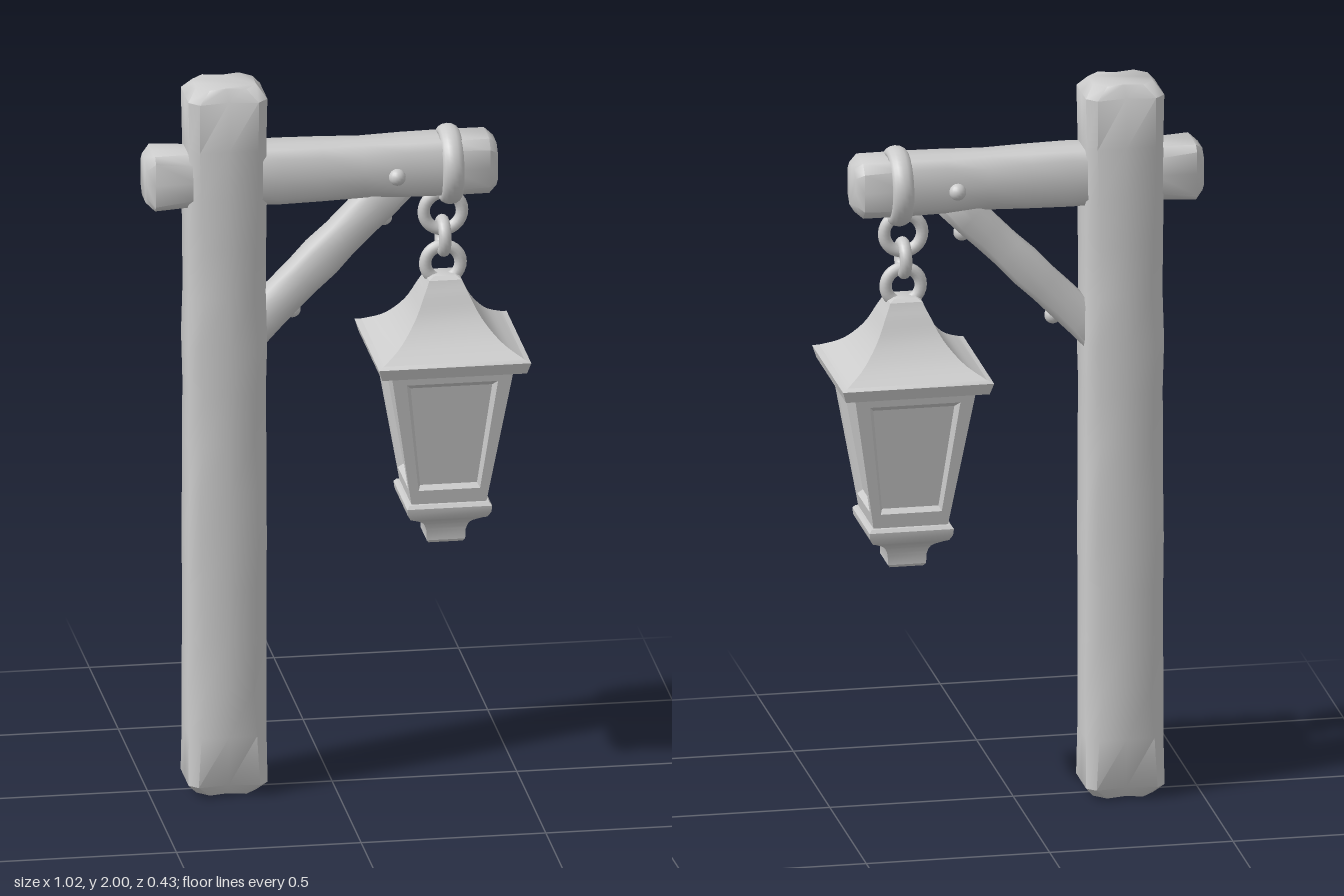
import * as THREE from 'three';
import { toCreasedNormals } from 'three/addons/utils/BufferGeometryUtils.js';

const material = new THREE.MeshStandardMaterial({ color: 0xcccccc });

function add(parent, name, geometry, x = 0, y = 0, z = 0) {
  const mesh = new THREE.Mesh(geometry, material);
  mesh.name = name;
  mesh.position.set(x, y, z);
  parent.add(mesh);
  return mesh;
}

// Skin a stack of equal-length loops (counterclockwise seen from the end) and cap both ends.
function loft(loops, crease, capStart = true) {
  const n = loops[0].length;
  const points = loops.flat();
  const index = [];
  for (let i = 0; i < loops.length - 1; i++) {
    for (let j = 0; j < n; j++) {
      const a = i * n + j, b = i * n + (j + 1) % n;
      index.push(a, b, b + n, a, b + n, a + n);
    }
  }
  const last = (loops.length - 1) * n;
  for (let j = 1; j < n - 1; j++) {
    if (capStart) index.push(0, j + 1, j);
    index.push(last, last + j, last + j + 1);
  }
  const geometry = new THREE.BufferGeometry();
  geometry.setAttribute('position', new THREE.Float32BufferAttribute(points.flat(), 3));
  geometry.setIndex(index);
  return toCreasedNormals(geometry, crease);
}

function seeded(seed) {
  return () => (seed = (seed * 16807) % 2147483647) / 2147483647;
}

// Hand-hewn timber standing along y: bevelled ends, chamfer of uneven width, split at the ends.
function timber(length, w, d, { chamfer = 0.025, bevel = 0.03, split = 0, steps = 8, seed = 7 } = {}) {
  const random = seeded(seed);
  const section = (y, inset, c, notch) => {
    const x = w - inset, z = d - inset;
    return [
      [x, z - c], [x, 0], [x, c - z], [x - c, -z], [0, -z + notch], [c - x, -z],
      [-x, c - z], [-x, 0], [-x, z - c], [c - x, z], [0, z - notch], [x - c, z],
    ].map(([px, pz]) => [px, y, pz]);
  };
  const loops = [section(0, bevel * 0.8, chamfer, split)];
  for (let i = 0; i <= steps; i++) {
    const end = i === 0 || i === steps;
    const y = bevel + (length - 2 * bevel) * i / steps;
    loops.push(section(y, end ? 0 : random() * 0.004, chamfer * (0.75 + random() * 0.6), end ? split : 0));
  }
  loops.push(section(length, bevel * 0.8, chamfer, split));
  return loft(loops, 0.9);
}

// Square-plan turning from [half width, height] pairs, bottom to top.
function squareTurned(profile) {
  return loft(profile.map(([r, y]) => [[r, y, r], [r, y, -r], [-r, y, -r], [-r, y, r]]), 0.6);
}

function smooth(points, count) {
  return new THREE.SplineCurve(points.map(p => new THREE.Vector2(...p)))
    .getPoints(count).map(p => [p.x, p.y]);
}

function makeLantern() {
  const lantern = new THREE.Group();
  lantern.name = 'lantern';

  // Concave roof with a flat eave
  add(lantern, 'roof', squareTurned([
    [0.16, 1.2], [0.196, 1.2], [0.206, 1.232],
    ...smooth([[0.19, 1.238], [0.137, 1.27], [0.09, 1.325], [0.06, 1.385], [0.05, 1.405]], 14),
    [0.044, 1.42], [0.03, 1.428],
  ]));

  // Four tapering sides, each a frame around a recessed pane
  const bottom = 0.8, top = 1.205;
  const half = y => 0.1 + 0.066 * (y - bottom) / (top - bottom);
  const ring = (u, y0, y1, depth) => [[-u, y0], [u, y0], [u, y1], [-u, y1]]
    .map(([s, y]) => [s * half(y), y, half(y) - depth]);
  const side = loft([
    ring(1, bottom, top, 0),
    ring(0.77, 0.85, 1.17, 0),
    ring(0.7, 0.862, 1.155, 0.016),
  ], 0.2, false);
  for (let k = 0; k < 4; k++) add(lantern, 'windowSide', side).rotation.y = k * Math.PI / 2;

  // Moulded base
  add(lantern, 'base', squareTurned([
    [0.046, 0.68], [0.052, 0.688],
    ...smooth([[0.053, 0.715], [0.063, 0.74], [0.092, 0.76]], 8),
    [0.104, 0.766], [0.113, 0.782], [0.115, 0.8], [0.108, 0.809], [0.09, 0.812],
  ]));

  lantern.position.x = 0.3;
  lantern.scale.z = 1.035;
  return lantern;
}

export function createModel() {
  const model = new THREE.Group();
  model.name = 'lanternPost';

  // Timber frame
  add(model, 'post', timber(2, 0.107, 0.093,
    { chamfer: 0.032, bevel: 0.032, split: 0.012, steps: 14, seed: 11 }), -0.292, 0, -0.002);
  add(model, 'crossBeam', timber(0.95, 0.077, 0.072,
    { chamfer: 0.022, bevel: 0.022, seed: 5 }), -0.51, 1.74, 0.002).rotation.z = -Math.PI / 2;
  add(model, 'brace', timber(0.594, 0.05, 0.05,
    { chamfer: 0.016, bevel: 0.01, seed: 3 }), -0.24, 1.28, 0).rotation.z = -Math.PI / 4;

  // Round-headed pegs through the beam and under the brace
  const peg = new THREE.SphereGeometry(0.023, 16, 12);
  for (const z of [-0.07, 0.074]) add(model, 'beamPeg', peg, 0.165, 1.73, z);
  add(model, 'bracePeg', peg, 0.14, 1.594, 0);
  add(model, 'bracePeg', peg, -0.108, 1.346, 0);

  // Ring around the beam
  const ring = add(model, 'beamRing', new THREE.TorusGeometry(0.089, 0.02, 14, 40), 0.316, 1.735, 0);
  ring.rotation.y = Math.PI / 2;
  ring.scale.z = 1.45;

  // Chain of alternating links
  [[1.602, 0.052, 0], [1.532, 0.041, Math.PI / 2], [1.455, 0.048, 0]].forEach(([y, r, turn]) => {
    add(model, 'chainLink', new THREE.TorusGeometry(r, 0.017, 12, 28), 0.3, y, 0).rotation.y = turn;
  });

  model.add(makeLantern());
  return model;
}
